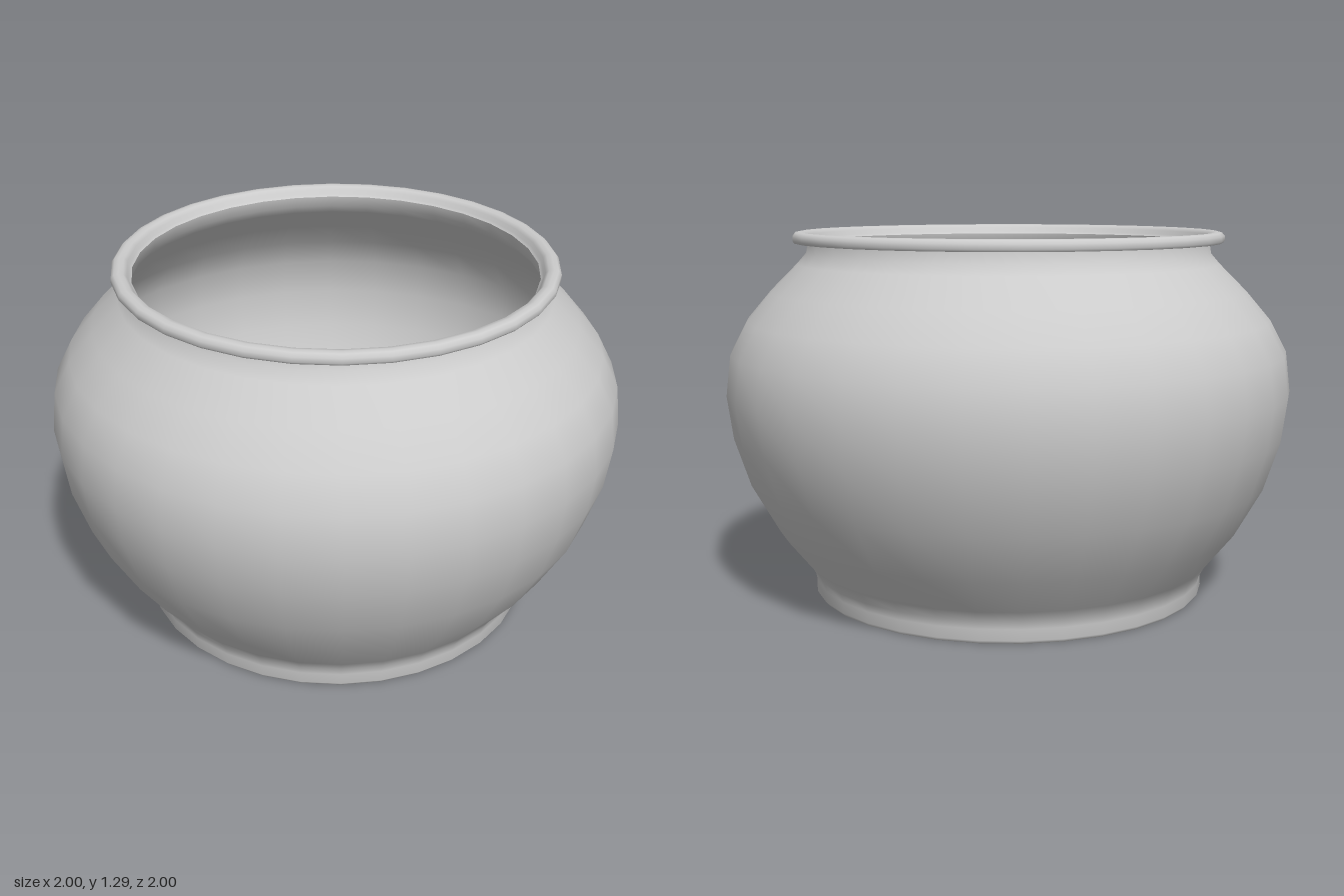
import * as THREE from 'three';

const SEGMENTS = 32;

// Revolve a [radius, height] profile around the vertical axis
function lathe(name, profile, material) {
  const points = profile.map(([r, y]) => new THREE.Vector2(r, y));
  const mesh = new THREE.Mesh(new THREE.LatheGeometry(points, SEGMENTS), material);
  mesh.name = name;
  return mesh;
}

export function createModel() {
  const group = new THREE.Group();
  group.name = 'pot';
  const material = new THREE.MeshStandardMaterial({ color: 0xcccccc, side: THREE.DoubleSide });

  // Outer wall: foot, belly, shoulder and short neck
  const outer = [
    [0.695, 0], [0.705, 0.012], [0.703, 0.05], [0.71, 0.08], [0.73, 0.115],
    [0.83, 0.24], [0.925, 0.41], [0.98, 0.58], [1, 0.73], [0.983, 0.87],
    [0.925, 0.98], [0.84, 1.08], [0.745, 1.175], [0.715, 1.21], [0.708, 1.25],
  ];

  // Inner wall follows the belly, then closes with the floor
  const inner = outer.slice(4).reverse().map(([r, y]) => [r - 0.015, y]);
  inner.push([0.67, 0.06], [0, 0.04]);

  // Rounded lip overhanging the neck
  const lip = [
    [0.755, 1.248], [0.761, 1.256], [0.76, 1.272], [0.75, 1.283], [0.735, 1.286],
    [0.718, 1.283], [0.707, 1.272], [0.702, 1.258], [0.693, 1.25],
  ];

  group.add(
    lathe('base', [[0, 0], [0.695, 0]], material),
    lathe('outerWall', outer, material),
    lathe('lipUnderside', [[0.708, 1.25], [0.755, 1.248]], material),
    lathe('lip', lip, material),
    lathe('innerWall', inner, material),
  );
  return group;
}
